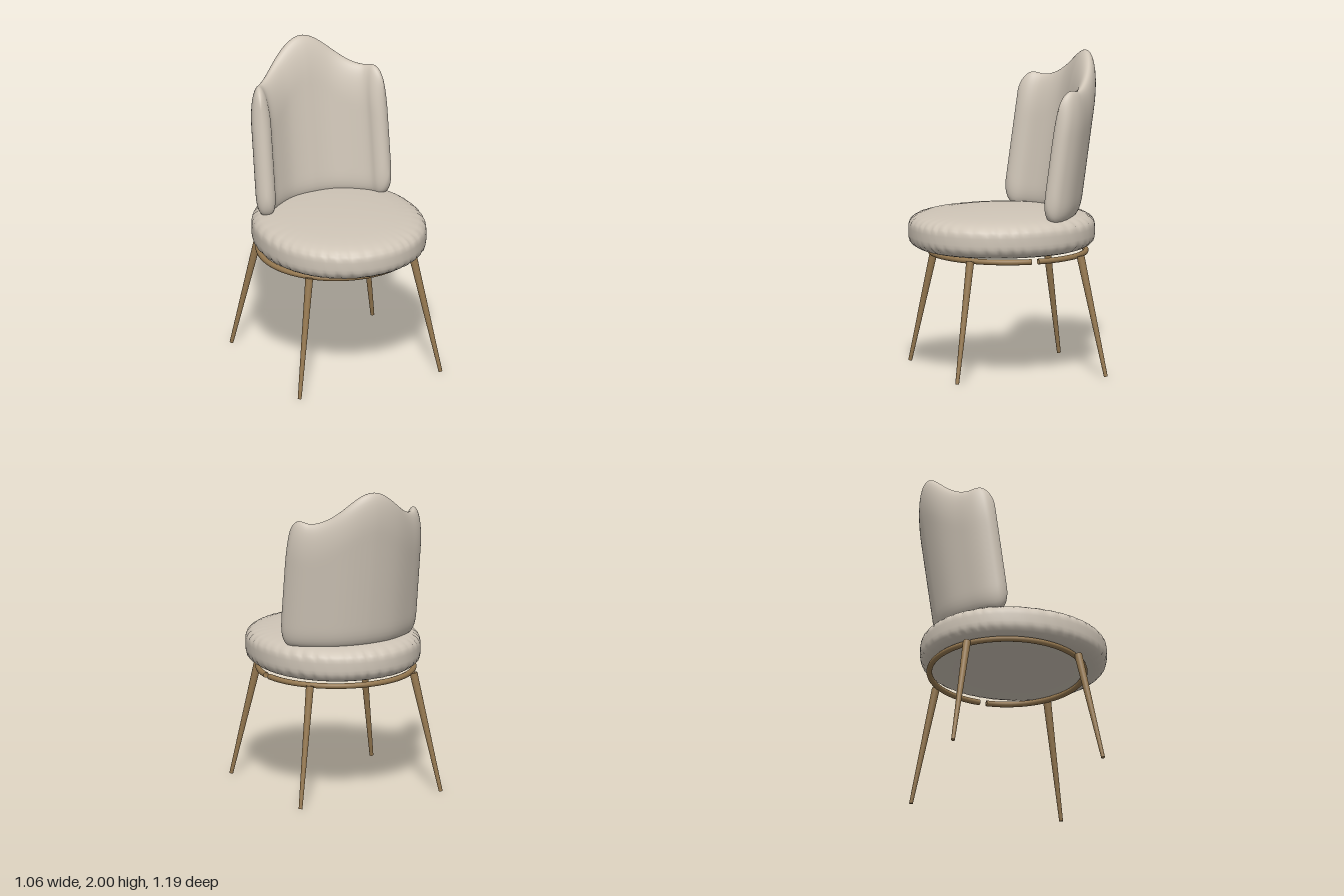
import * as THREE from 'three';
import { mergeVertices } from 'three/addons/utils/BufferGeometryUtils.js';

// Skins rows of points into a smooth surface; wrapI / wrapJ close it in each direction
function loft(rows, wrapI, wrapJ) {
  const n = rows.length, m = rows[0].length, index = [];
  for (let i = 0; i < (wrapI ? n : n - 1); i++) {
    for (let j = 0; j < (wrapJ ? m : m - 1); j++) {
      const i2 = (i + 1) % n, j2 = (j + 1) % m;
      const a = i * m + j, b = i2 * m + j, c = i2 * m + j2, d = i * m + j2;
      index.push(a, c, b, a, d, c);
    }
  }
  let geo = new THREE.BufferGeometry();
  geo.setAttribute('position', new THREE.Float32BufferAttribute(rows.flat(2), 3));
  geo.setIndex(index);
  geo = mergeVertices(geo, 1e-5);
  geo.computeVertexNormals();
  return geo;
}

// Oval cushion with gathered seams near its top and bottom rims
function seatGeometry() {
  // radius fraction, height, gather strength
  const profile = [
    [0, 0.775, 0], [0.6, 0.775, 0], [0.85, 0.777, 0], [0.91, 0.787, 0.3], [0.955, 0.803, 0.7],
    [0.985, 0.82, 1], [0.996, 0.842, 0.3], [1, 0.865, 0], [1, 0.91, 0], [0.996, 0.932, 0.3],
    [0.985, 0.95, 1], [0.955, 0.968, 0.7], [0.91, 0.983, 0.3], [0.82, 0.997, 0.1],
    [0.65, 1.009, 0], [0.4, 1.017, 0], [0.2, 1.02, 0], [0, 1.021, 0],
  ];
  const rows = [], steps = 176, power = 2 / 2.08;
  const bend = v => Math.sign(v) * Math.abs(v) ** power;
  for (let i = 0; i < steps; i++) {
    const t = (i / steps) * Math.PI * 2;
    const pinch = Math.max(0, Math.sin(t * 44 + 1.5 * Math.sin(t * 5))) * (0.7 + 0.3 * Math.sin(t * 7));
    rows.push(profile.map(([r, y, g]) => {
      const k = r - 0.012 * g * pinch;
      const dy = 0.007 * g * pinch * (y > 0.9 ? -1 : 1);
      return [0.532 * k * bend(Math.cos(t)), y + dy, 0.586 * k * bend(Math.sin(t))];
    }));
  }
  return loft(rows, true, false);
}

// Rises from 0 to 1 along a rounded edge of radius r
function round(d, r, p) {
  const q = 1 - THREE.MathUtils.clamp(d / r, 0, 1);
  return (1 - q ** p) ** (1 / p);
}

// Wrapped, leaning back with a raised crest and rounded wings
function backrestGeometry() {
  const half = [[0.16, -0.388], [0.29, -0.32], [0.38, -0.245], [0.426, -0.14]];
  const plan = [...half.map(([x, z]) => [-x, z]).reverse(), [0, -0.41], ...half];
  const curve = new THREE.CatmullRomCurve3(plan.map(([x, z]) => new THREE.Vector3(x, 0, z)));
  const length = curve.getLength();
  const rows = [], steps = 96, m = 30;
  for (let i = 0; i <= steps; i++) {
    const u = (1 - Math.cos((Math.PI * i) / steps)) / 2;
    const p = curve.getPointAt(u), t = curve.getTangentAt(u);
    const edge = Math.min(u, 1 - u) * length;
    const ax = Math.abs(p.x);
    const crest = ax < 0.36
      ? 1.9 + 0.1 * Math.cos((Math.PI * ax) / 0.36)
      : 1.8 + 0.012 * Math.min(1, (ax - 0.36) / 0.04);
    const corner = 1 - round(edge, 0.09, 2);
    const y0 = 0.975 + 0.16 * corner, y1 = crest - 0.13 * corner;
    const thick = (0.075 - 0.013 * Math.min(1, ax / 0.4)) * round(edge, 0.07, 2);
    const point = (k, side) => {
      const y = y0 + ((y1 - y0) * (1 - Math.cos((Math.PI * k) / m))) / 2;
      const w = side * thick * round(y - y0, 0.15, 2.6) * round(y1 - y, 0.26, 2);
      return [p.x + t.z * w, y, p.z - t.x * w - 0.14 * (y - 0.98)];
    };
    const row = [];
    for (let k = 0; k <= m; k++) row.push(point(k, 1));
    for (let k = m - 1; k > 0; k--) row.push(point(k, -1));
    rows.push(row);
  }
  return loft(rows, false, true);
}

export function createModel() {
  const chair = new THREE.Group();
  chair.name = 'chair';
  const fabric = new THREE.MeshStandardMaterial({ color: 0xcfc5b7 });
  fabric.name = 'beige fabric';
  const brass = new THREE.MeshStandardMaterial({ color: 0x957850, side: THREE.DoubleSide });
  brass.name = 'brushed brass';
  const add = (name, geo, mat) => {
    const mesh = new THREE.Mesh(geo, mat);
    mesh.name = name;
    chair.add(mesh);
    return mesh;
  };

  add('seatCushion', seatGeometry(), fabric);
  add('backrest', backrestGeometry(), fabric);

  // Support ring, with a small open gap on the left side
  const midZ = -0.042;
  const ring = new THREE.TorusGeometry(0.487, 0.018, 12, 96, Math.PI * 2 - 0.09);
  ring.rotateX(Math.PI / 2);
  add('supportRing', ring, brass).position.set(0, 0.755, midZ);

  // Splayed, tapered legs
  for (const [sx, sz, name] of [[1, 1, 'frontLeftLeg'], [-1, 1, 'frontRightLeg'], [1, -1, 'backLeftLeg'], [-1, -1, 'backRightLeg']]) {
    const foot = new THREE.Vector3(sx * 0.49, 0.003, midZ + sz * 0.488);
    const top = new THREE.Vector3(sx * 0.362, 0.755, midZ + sz * 0.362);
    const axis = top.clone().sub(foot);
    const leg = add(name, new THREE.CylinderGeometry(0.025, 0.012, axis.length(), 20), brass);
    leg.position.copy(foot).add(top).multiplyScalar(0.5);
    leg.quaternion.setFromUnitVectors(new THREE.Vector3(0, 1, 0), axis.normalize());
  }
  return chair;
}
